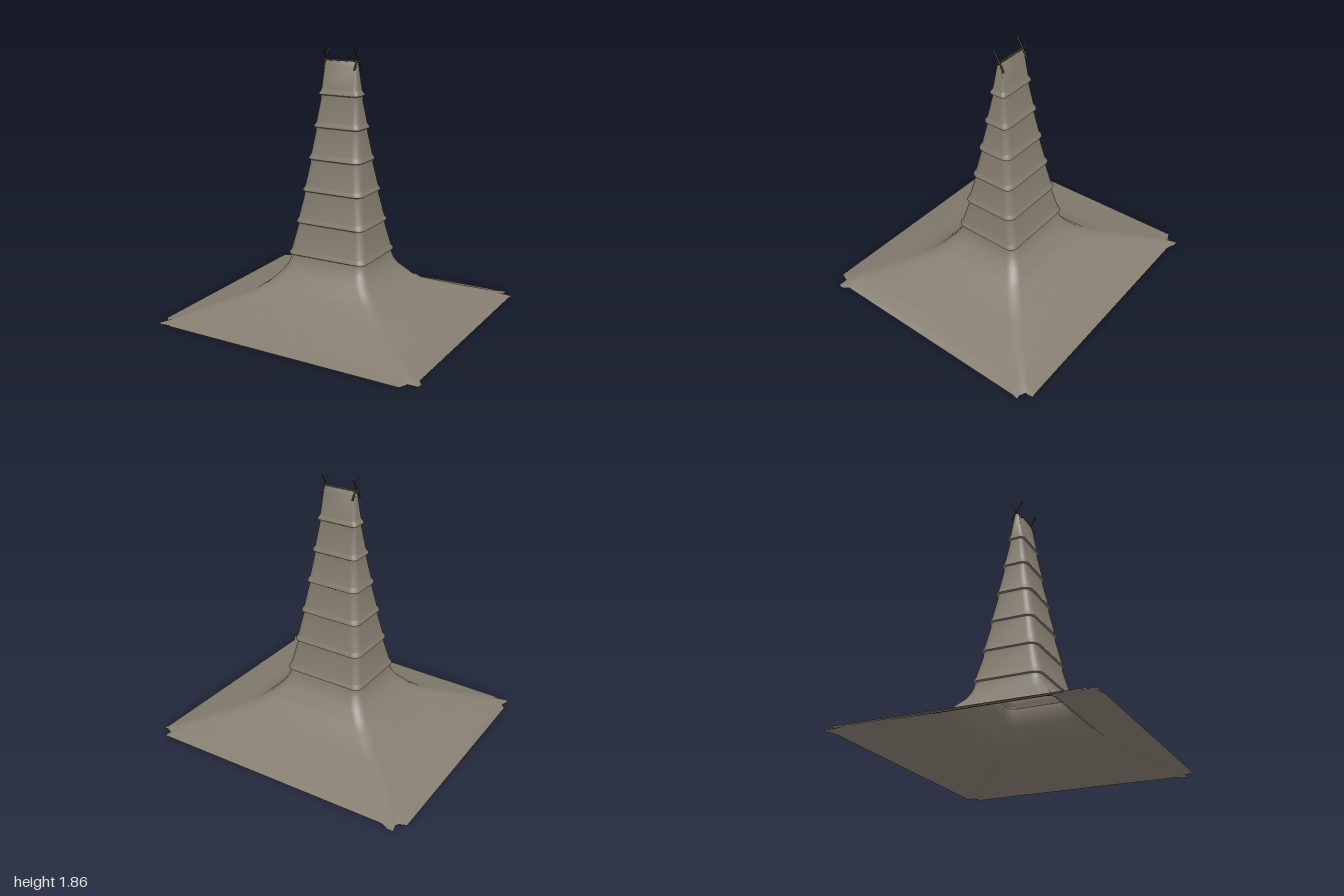
import * as THREE from 'three';
import { toCreasedNormals } from 'three/addons/utils/BufferGeometryUtils.js';

const STEPS = 6; // segments in each rounded corner

// Rounded rectangle of half sizes hx, hz at height y
function ring(hx, hz, y, r) {
  const pts = [];
  for (let c = 0; c < 4; c++) {
    const sx = c === 0 || c === 3 ? 1 : -1;
    const sz = c < 2 ? 1 : -1;
    for (let i = 0; i <= STEPS; i++) {
      const a = (c + i / STEPS) * Math.PI / 2;
      pts.push([sx * (hx - r) + r * Math.cos(a), y, sz * (hz - r) + r * Math.sin(a)]);
    }
  }
  return pts;
}

// Skin a stack of rings, closing the top one
function loft(rings) {
  const n = rings[0].length;
  const index = [];
  for (let k = 0; k < rings.length - 1; k++) {
    for (let j = 0; j < n; j++) {
      const a = k * n + j, b = k * n + (j + 1) % n;
      index.push(a, a + n, b, b, a + n, b + n);
    }
  }
  const top = (rings.length - 1) * n;
  for (let j = 1; j < n - 1; j++) index.push(top, top + j + 1, top + j);
  const geo = new THREE.BufferGeometry();
  geo.setAttribute('position', new THREE.Float32BufferAttribute(rings.flat(2), 3));
  geo.setIndex(index);
  return toCreasedNormals(geo, 0.75);
}

// Straight round pole between two points
function pole(a, b, radius, material, name) {
  const from = new THREE.Vector3(...a), to = new THREE.Vector3(...b);
  const dir = to.clone().sub(from);
  const mesh = new THREE.Mesh(new THREE.CylinderGeometry(radius, radius, dir.length(), 8), material);
  mesh.position.copy(from).add(to).multiplyScalar(0.5);
  mesh.quaternion.setFromUnitVectors(new THREE.Vector3(0, 1, 0), dir.normalize());
  mesh.name = name;
  return mesh;
}

export function createModel() {
  const thatch = new THREE.MeshStandardMaterial({ color: 0x857d70, side: THREE.DoubleSide });
  thatch.name = 'thatch';
  const darkWood = new THREE.MeshStandardMaterial({ color: 0x302b26 });
  darkWood.name = 'darkWood';

  const model = new THREE.Group();
  model.name = 'thatchedTowerRoof';

  // Ragged eave: seven points at each corner, clockwise from above
  const eave = [
    [0.955, 0.75], [0.985, 0.79], [0.98, 0.83], [0.91, 0.83], [0.905, 0.85], [0.885, 0.89], [0.86, 0.89],
    [-0.86, 0.86], [-0.88, 0.85], [-0.95, 0.86], [-0.97, 0.835], [-0.95, 0.79], [-0.955, 0.77], [-0.98, 0.75],
    [-1, -0.79], [-0.95, -0.81], [-0.94, -0.83], [-0.955, -0.885], [-0.91, -0.885], [-0.87, -0.865], [-0.84, -0.86],
    [0.88, -0.89], [0.915, -0.895], [0.92, -0.86], [0.915, -0.84], [0.96, -0.82], [0.99, -0.825], [0.98, -0.78],
  ].map(([x, z]) => [x, 0, z]);

  // Flared skirt: half width, half depth, height, corner radius
  const skirt = [
    [0.9, 0.8, 0.028, 0.05], [0.74, 0.65, 0.085, 0.06], [0.6, 0.525, 0.138, 0.07],
    [0.475, 0.41, 0.19, 0.07], [0.447, 0.385, 0.215, 0.07], [0.42, 0.36, 0.228, 0.07],
    [0.385, 0.335, 0.265, 0.07], [0.336, 0.29, 0.318, 0.07], [0.307, 0.258, 0.37, 0.065],
    [0.294, 0.243, 0.415, 0.06],
  ].map((p) => ring(...p));

  // Tower tiers, each starting with a rolled lip
  const lips = [
    [0.302, 0.249, 0.44], [0.268, 0.206, 0.662], [0.236, 0.17, 0.884], [0.207, 0.135, 1.105],
    [0.179, 0.098, 1.325], [0.153, 0.063, 1.546], [0.124, 0.02, 1.772],
  ];
  const tower = [];
  for (let i = 0; i < 6; i++) {
    const [x, z, y] = lips[i];
    const [nx, nz, ny] = lips[i + 1];
    const r = Math.min(0.055, z * 0.4);
    const add = (inset, h) => tower.push(ring(x - inset, z - inset, h, r));
    add(0.01, y - 0.006);
    add(0, y);
    add(0.001, y + 0.01);
    add(0.01, y + 0.024);
    add(0.014, y + 0.04);
    const last = i === 5;
    tower.push(ring(nx - (last ? 0 : 0.01), nz - (last ? 0 : 0.01), ny - 0.032, Math.min(0.05, nz * 0.4)));
  }
  tower.push(ring(0.118, 0.009, 1.772, 0.004));

  const roof = new THREE.Mesh(loft([eave, ...skirt, ...tower]), thatch);
  roof.name = 'thatchRoof';
  model.add(roof);

  // Ridge pole and crossed sticks at both ends
  model.add(pole([-0.147, 1.775, 0], [0.147, 1.775, 0], 0.009, darkWood, 'ridgePole'));
  for (const x of [-0.12, 0.12]) {
    for (const s of [-1, 1]) {
      model.add(pole([x + s * 0.003, 1.72, -s * 0.041], [x + s * 0.003, 1.857, s * 0.042], 0.006, darkWood, 'crossedStick'));
    }
  }
  return model;
}
